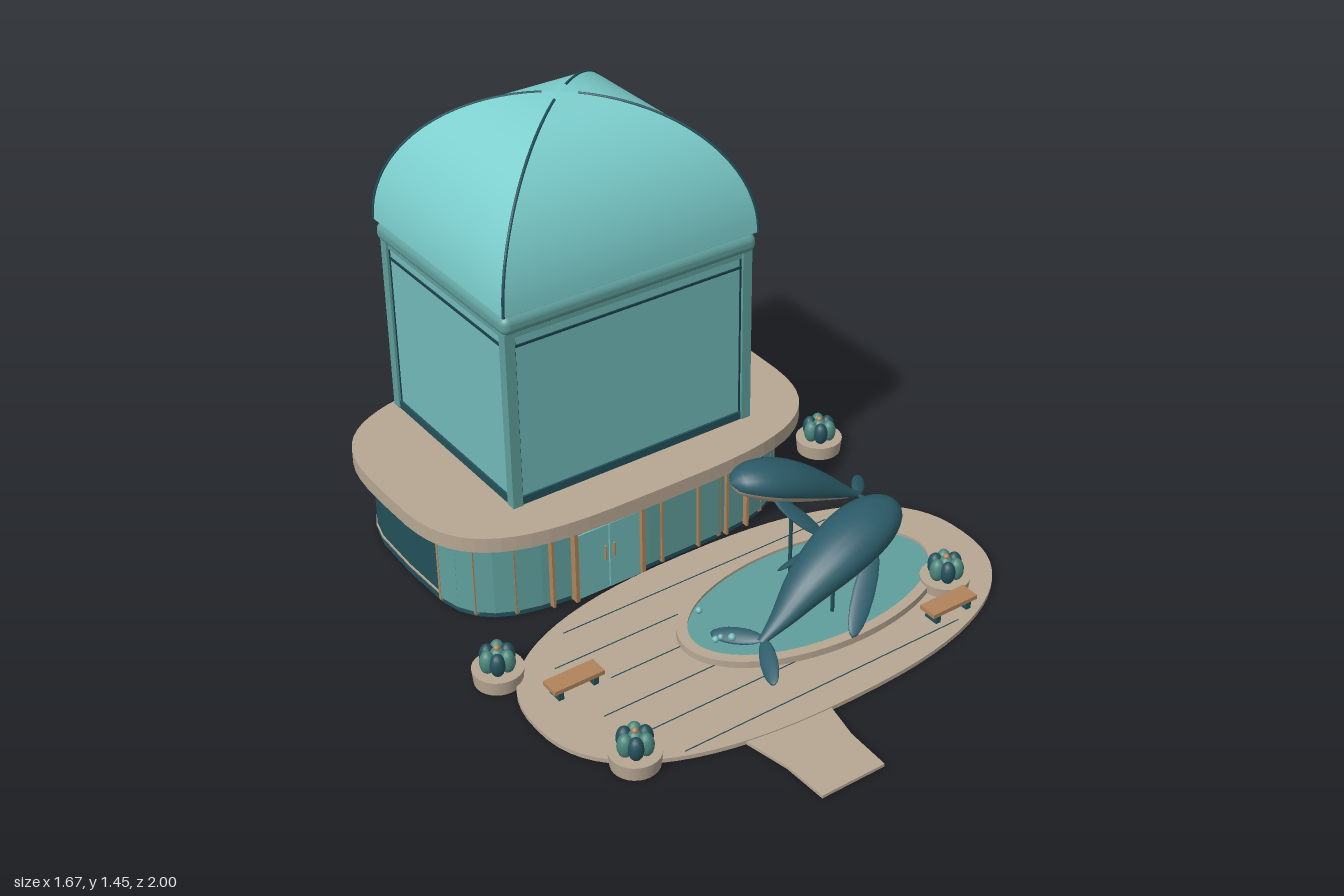
import * as THREE from 'three';
import { RoundedBoxGeometry } from 'three/addons/geometries/RoundedBoxGeometry.js';

const mat = (name, color, side = THREE.FrontSide) => {
  const m = new THREE.MeshStandardMaterial({ color, side });
  m.name = name;
  return m;
};

export function createModel() {
  const M = {
    dome: mat('domeTeal', 0x7ccfce), panel: mat('panelTeal', 0x72bab9), glass: mat('glassTeal', 0x5f9f9c),
    dark: mat('darkTeal', 0x23505a), line: mat('lineDark', 0x1b3f47), whale: mat('whaleBlue', 0x2b5b68),
    stone: mat('stone', 0xb7a793), wood: mat('wood', 0xb0845a), leaf: mat('leafGreen', 0x4a857a),
  };
  const root = new THREE.Group();
  root.name = 'aquariumPavilion';
  const V = (x, y, z) => new THREE.Vector3(x, y, z);
  const add = (name, geo, m, x = 0, y = 0, z = 0, parent = root) => {
    const o = new THREE.Mesh(geo, m);
    o.name = name;
    o.position.set(x, y, z);
    parent.add(o);
    return o;
  };
  const box = (name, m, w, h, d, x, y, z, parent) => add(name, new THREE.BoxGeometry(w, h, d), m, x, y, z, parent);

  // rounded outlines: superellipse points as (x, -z), extruded upward
  const oval = (cx, cz, rx, rz, n, count) => Array.from({ length: count }, (_, i) => {
    const t = i / count * Math.PI * 2, c = Math.cos(t), s = Math.sin(t), p = 2 / n;
    return new THREE.Vector2(cx + rx * Math.sign(c) * Math.abs(c) ** p, -cz + rz * Math.sign(s) * Math.abs(s) ** p);
  });
  const slab = (name, pts, y, h, m, hole) => {
    const shape = new THREE.Shape(pts);
    if (hole) shape.holes.push(new THREE.Path(hole));
    const g = new THREE.ExtrudeGeometry(shape, { depth: h, bevelEnabled: false });
    return add(name, g.rotateX(-Math.PI / 2), m, 0, y, 0);
  };

  // ground floor
  const wall = oval(-0.097, -0.545, 0.615, 0.41, 4, 32);
  slab('groundFloorWall', wall, 0, 0.3, M.dark);
  slab('baseTrim', oval(-0.097, -0.545, 0.619, 0.414, 4, 32), 0.028, 0.007, M.stone);
  slab('terraceRoof', oval(-0.087, -0.53, 0.698, 0.468, 3.4, 64), 0.29, 0.05, M.stone);

  // front glazing with wooden mullions
  wall.forEach((a, i) => {
    const b = wall[(i + 1) % wall.length];
    if (-a.y < -0.42 || -b.y < -0.42) return;
    const p = box('frontGlass', M.glass, a.distanceTo(b) + 0.004, 0.27, 0.012, (a.x + b.x) / 2, 0.155, -(a.y + b.y) / 2);
    p.rotation.y = Math.atan2(b.y - a.y, b.x - a.x);
    if (i % 2) box('cornerMullion', M.wood, 0.012, 0.28, 0.012, a.x, 0.15, -a.y);
  });
  for (const x of [-0.45, -0.05, 0.09, 0.2, 0.28]) box('mullion', M.wood, 0.009, 0.28, 0.02, x, 0.15, -0.133);

  // entrance
  for (const s of [-1, 1]) {
    box('doorPost', M.wood, 0.013, 0.26, 0.03, -0.252 + s * 0.122, 0.135, -0.125);
    box('doorLeaf', M.panel, 0.11, 0.235, 0.008, -0.252 + s * 0.057, 0.125, -0.122);
    box('doorHandle', M.wood, 0.005, 0.05, 0.01, -0.252 + s * 0.016, 0.145, -0.115);
  }
  box('doorHeader', M.wood, 0.26, 0.016, 0.03, -0.252, 0.262, -0.125);

  // wall pods and rear service panel
  for (const z of [-0.18, -0.925]) add('wallPod', new THREE.CapsuleGeometry(0.026, 0.06, 6, 12), M.dark, 0.35, 0.197, z);
  box('rearPanel', M.dark, 0.76, 0.16, 0.012, -0.1, 0.15, -0.957);
  box('rearWoodBand', M.wood, 0.76, 0.03, 0.016, -0.1, 0.25, -0.957);

  // tower
  const tower = new THREE.Group();
  tower.name = 'tower';
  tower.position.set(-0.074, 0, -0.594);
  root.add(tower);
  box('towerPlinth', M.dark, 0.874, 0.03, 0.718, 0, 0.352, 0, tower);
  box('towerPanels', M.panel, 0.86, 0.59, 0.704, 0, 0.65, 0, tower);
  for (const sx of [-1, 1]) for (const sz of [-1, 1]) {
    box('cornerPost', M.glass, 0.034, 0.6, 0.034, sx * 0.423, 0.64, sz * 0.346, tower);
    box('frontReveal', M.line, 0.006, 0.57, 0.006, sx * 0.403, 0.648, sz * 0.351, tower);
    box('sideReveal', M.line, 0.006, 0.57, 0.006, sx * 0.429, 0.648, sz * 0.326, tower);
  }
  for (const s of [-1, 1]) {
    box('frontRail', M.line, 0.81, 0.007, 0.008, 0, 0.886, s * 0.353, tower);
    box('sideRail', M.line, 0.008, 0.007, 0.65, s * 0.431, 0.886, 0, tower);
    box('frontTopEdge', M.glass, 0.81, 0.015, 0.008, 0, 0.925, s * 0.353, tower);
    box('sideTopEdge', M.glass, 0.008, 0.015, 0.65, s * 0.431, 0.925, 0, tower);
  }
  add('cornice', new RoundedBoxGeometry(0.902, 0.062, 0.756, 4, 0.026), M.glass, 0, 0.966, 0, tower);
  box('domeGap', M.line, 0.87, 0.02, 0.725, 0, 1, 0, tower);

  // four-sided vaulted dome with diagonal ribs
  const HX = 0.449, HZ = 0.378, ROWS = 20, Y0 = 1.005, H = 0.438;
  const domeAt = (t, sx, sz, k = 1) => {
    const a = t * Math.PI / 2, u = Math.cos(a) * k;
    return V(sx * HX * u, Y0 + H * Math.sin(a), sz * HZ * u);
  };
  const corners = [[-1, 1], [1, 1], [1, -1], [-1, -1]];
  corners.forEach((c, k) => {
    const d = corners[(k + 1) % 4], pos = [], idx = [];
    for (let i = 0; i <= ROWS; i++) {
      pos.push(...domeAt(i / ROWS, ...c).toArray(), ...domeAt(i / ROWS, ...d).toArray());
      if (i < ROWS) idx.push(2 * i, 2 * i + 1, 2 * i + 3, 2 * i, 2 * i + 3, 2 * i + 2);
    }
    const g = new THREE.BufferGeometry();
    g.setAttribute('position', new THREE.Float32BufferAttribute(pos, 3));
    g.setIndex(idx);
    g.computeVertexNormals();
    add('domeFace', g, M.dome, 0, 0, 0, tower);
    const rib = new THREE.CatmullRomCurve3(Array.from({ length: 15 }, (_, i) => domeAt(i / 14 * 0.942, ...c)));
    add('domeRib', new THREE.TubeGeometry(rib, 32, 0.0045, 6), M.dark, 0, 0, 0, tower);
  });
  box('domeFloor', M.dome, 0.898, 0.004, 0.756, 0, Y0, 0, tower);

  // plaza, path and paving lines
  slab('plaza', oval(0.013, 0.308, 0.802, 0.422, 2.4, 72), 0, 0.014, M.stone);
  slab('path', [[-0.35, -0.68], [-0.315, -0.85], [-0.31, -1], [-0.09, -1], [-0.085, -0.85], [-0.05, -0.68]]
    .map(p => new THREE.Vector2(...p)), 0, 0.01, M.stone);
  for (const [z, a, b] of [[0, -0.5, 0.5], [0.125, -0.61, -0.17], [0.255, -0.5, -0.24], [0.385, -0.61, -0.2], [0.51, -0.57, -0.02], [0.64, -0.51, 0.5]])
    box('pavingLine', M.dark, b - a, 0.002, 0.003, (a + b) / 2, 0.0145, z);

  // pool
  slab('poolRim', oval(0.21, 0.288, 0.468, 0.257, 2, 64), 0.01, 0.027, M.stone, oval(0.21, 0.288, 0.433, 0.224, 2, 64));
  slab('poolWater', oval(0.21, 0.288, 0.436, 0.227, 2, 64), 0.01, 0.018, M.glass);
  for (const [x, y, z, r] of [[-0.16, 0.085, 0.22, 0.011], [-0.19, 0.07, 0.345, 0.011], [-0.16, 0.09, 0.385, 0.012], [-0.16, 0.055, 0.33, 0.009]])
    add('bubble', new THREE.SphereGeometry(r, 12, 8), M.panel, x, y, z);

  // planters with lobed plants
  for (const [x, z] of [[0.585, -0.65], [0.755, -0.355], [-0.76, 0.055], [-0.64, 0.585], [0.585, 0.48]]) {
    const p = new THREE.Group();
    p.name = 'planter';
    p.position.set(x, 0, z);
    root.add(p);
    add('planterPot', new THREE.CylinderGeometry(0.078, 0.073, 0.048, 28), M.stone, 0, 0.024, 0, p);
    for (let i = 0; i < 6; i++) {
      const a = i * Math.PI / 3;
      add('plantLobe', new THREE.SphereGeometry(0.024, 12, 10), i % 2 ? M.leaf : M.dark, Math.cos(a) * 0.034, 0.08, Math.sin(a) * 0.034, p).scale.y = 1.6;
    }
    add('plantCore', new THREE.SphereGeometry(0.025, 12, 10), M.leaf, 0, 0.085, 0, p).scale.y = 1.3;
    add('plantFlower', new THREE.SphereGeometry(0.01, 10, 8), M.wood, 0, 0.117, 0, p);
  }

  // benches
  for (const [x, z] of [[-0.61, 0.23], [0.5, 0.593]]) {
    box('benchSeat', M.wood, 0.172, 0.014, 0.064, x, 0.052, z);
    for (const s of [-1, 1]) box('benchLeg', M.dark, 0.018, 0.035, 0.05, x + s * 0.06, 0.03, z);
  }

  // whales: body swept along a curve (nose first), pale belly as a second face group
  const flipper = (name, a, b, chord, w, parent) => {
    const x = b.clone().sub(a), len = x.length();
    x.normalize();
    const y = x.clone().cross(chord).normalize(), z = x.clone().cross(y);
    const g = new THREE.SphereGeometry(1, 16, 10).scale(len / 2, 0.009, w / 2);
    g.applyMatrix4(new THREE.Matrix4().makeBasis(x, y, z).setPosition(a.clone().add(b).multiplyScalar(0.5)));
    add(name, g, M.whale, 0, 0, 0, parent);
  };
  const whale = (name, path, size, flippers, flukes) => {
    const grp = new THREE.Group();
    grp.name = name;
    root.add(grp);
    const curve = new THREE.CatmullRomCurve3(path.map(p => V(...p)));
    const N = 28, S = 20, pos = [], top = [], belly = [];
    for (let i = 0; i <= N; i++) {
      const t = i / N, c = curve.getPointAt(t), d = curve.getTangentAt(t);
      const side = V(0, 1, 0).cross(d).normalize(), up = d.clone().cross(side);
      const r = size * Math.max(0.002, t < 0.32 ? Math.sqrt(1 - (1 - t / 0.32) ** 2) : 0.13 + 0.87 * Math.cos((t - 0.32) / 0.68 * Math.PI / 2) ** 1.2);
      for (let j = 0; j < S; j++) {
        const a = j / S * Math.PI * 2;
        pos.push(...c.clone().addScaledVector(side, r * Math.cos(a)).addScaledVector(up, r * 0.74 * Math.sin(a)).toArray());
        if (i === N) continue;
        const k = (j + 1) % S, p = i * S;
        const under = Math.sin((j + 0.5) / S * Math.PI * 2) < -0.4 && t < 0.86;
        (under ? belly : top).push(p + j, p + k, p + S + k, p + j, p + S + k, p + S + j);
      }
    }
    const g = new THREE.BufferGeometry();
    g.setAttribute('position', new THREE.Float32BufferAttribute(pos, 3));
    // side x up points back along the sweep, so reverse the winding
    g.setIndex([...top, ...belly].map((v, i, arr) => (i % 3 === 1 ? arr[i + 1] : i % 3 === 2 ? arr[i - 1] : v)));
    g.addGroup(0, top.length, 0);
    g.addGroup(top.length, belly.length, 1);
    g.computeVertexNormals();
    // make sure faces point outward
    const n = g.attributes.normal, q = Math.floor(N / 3) * S + S / 4;
    if (n.getY(q) < 0) {
      const ix = g.index.array;
      for (let i = 0; i < ix.length; i += 3) [ix[i + 1], ix[i + 2]] = [ix[i + 2], ix[i + 1]];
      g.computeVertexNormals();
    }
    add('whaleBody', g, [M.whale, M.stone], 0, 0, 0, grp);
    const chord = curve.getTangentAt(0.4);
    for (const [a, b] of flippers) flipper('whaleFlipper', V(...a), V(...b), chord, size * 0.66, grp);
    const end = curve.getPointAt(0.98), tail = curve.getTangentAt(1);
    for (const b of flukes) flipper('whaleFluke', end, V(...b), tail, size * 0.55, grp);
    const mid = curve.getPointAt(0.45);
    add('whalePole', new THREE.CylinderGeometry(0.006, 0.006, mid.y - 0.02, 8), M.dark, mid.x, mid.y / 2 + 0.01, mid.z, grp);
  };
  whale('largeWhale',
    [[0.475, 0.288, 0.34], [0.4, 0.285, 0.365], [0.25, 0.25, 0.392], [0.1, 0.185, 0.41], [-0.01, 0.115, 0.425], [-0.09, 0.068, 0.432]], 0.102,
    [[[0.33, 0.24, 0.44], [0.13, 0.08, 0.585]], [[0.3, 0.24, 0.32], [0.17, 0.06, 0.175]]],
    [[-0.165, 0.045, 0.285], [-0.155, 0.04, 0.585]]);
  whale('smallWhale',
    [[0.02, 0.415, 0.125], [0.09, 0.41, 0.14], [0.2, 0.377, 0.16], [0.31, 0.325, 0.178], [0.4, 0.275, 0.195], [0.46, 0.243, 0.205]], 0.083,
    [[[0.14, 0.37, 0.1], [0.315, 0.265, 0.035]], [[0.13, 0.36, 0.2], [0.24, 0.24, 0.305]]],
    [[0.545, 0.225, 0.105], [0.5, 0.225, 0.34]]);

  return root;
}
